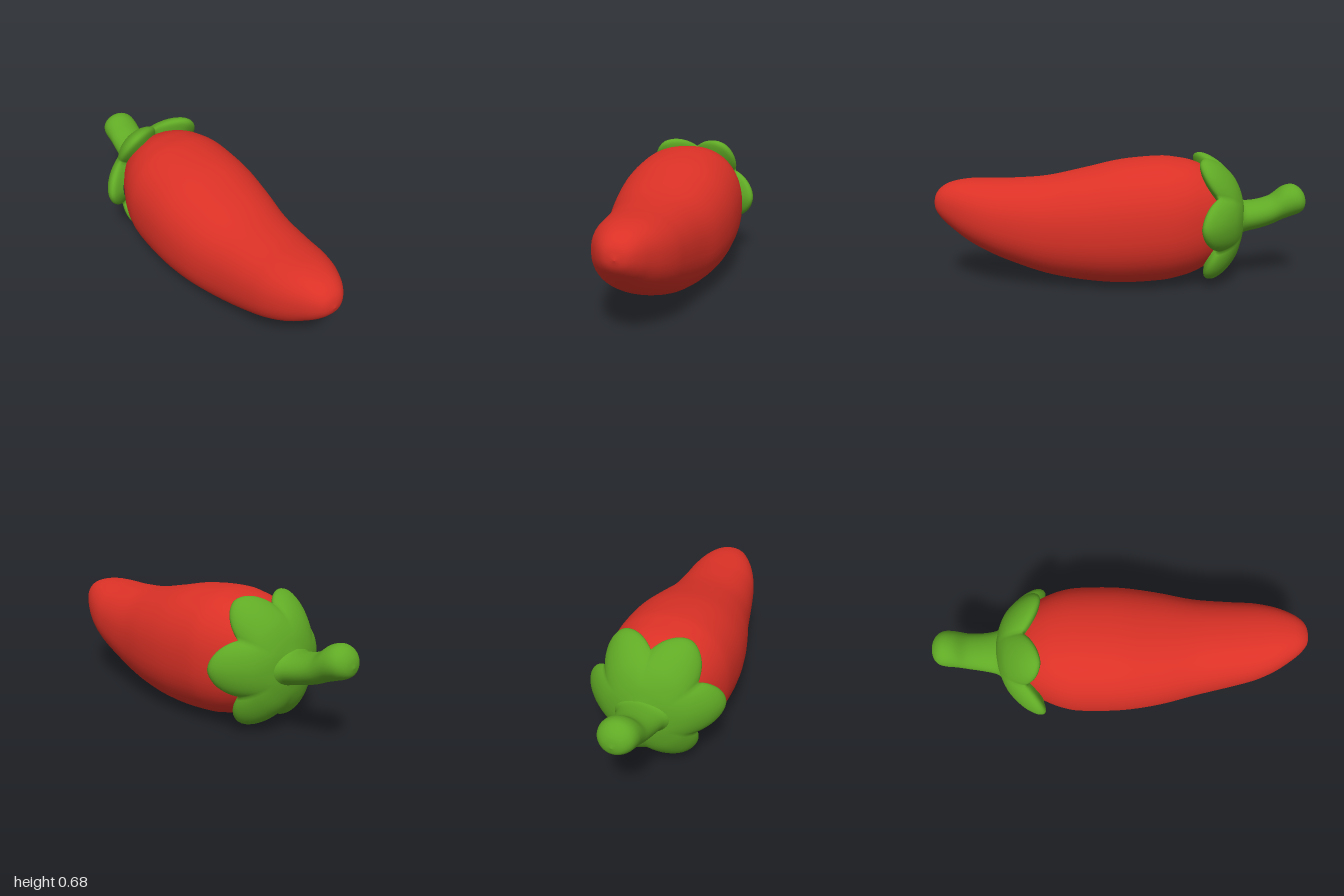
import * as THREE from 'three';

// Closed surface from a point(i, j) rule: i runs along +x, j runs around from the top towards +z
function skin(rows, cols, point) {
  const pos = [], idx = [];
  for (let i = 0; i <= rows; i++) {
    for (let j = 0; j < cols; j++) {
      pos.push(...point(i / rows, j / cols));
      if (i === rows) continue;
      const a = i * cols + j, b = i * cols + (j + 1) % cols;
      idx.push(a, b, a + cols, b, b + cols, a + cols);
    }
  }
  const g = new THREE.BufferGeometry();
  g.setAttribute('position', new THREE.Float32BufferAttribute(pos, 3));
  g.setIndex(idx);
  g.computeVertexNormals();
  return g;
}

const spline = (pts) => new THREE.CatmullRomCurve3(pts, false, 'catmullrom', 0.5);

// Loft along x through sections [x, top, bottom, half width]; power > 2 squares the section
function loft(sections, rows, cols, power) {
  const heights = spline(sections.map(([x, t, b]) => new THREE.Vector3(x, t, b)));
  const widths = spline(sections.map(([x, , , w]) => new THREE.Vector3(x, w, 0)));
  const round = (v) => Math.sign(v) * Math.abs(v) ** (2 / power);
  return skin(rows, cols, (u, v) => {
    const h = heights.getPoint(u), w = Math.max(0, widths.getPoint(u).y), a = v * Math.PI * 2;
    return [h.x, (h.y + h.z) / 2 + (h.y - h.z) / 2 * round(Math.cos(a)), w * round(Math.sin(a))];
  });
}

// Six-lobed cap: each lobe spans two notch angles (degrees from the top)
function calyxGeometry() {
  const notches = [0, 60, 122, 180, 238, 300, 360];
  const centreY = 0.362;
  // [x, radius] of the profile at a notch and at a lobe tip
  const atNotch = [[-0.66, 0.08], [-0.637, 0.155], [-0.595, 0.22], [-0.55, 0.255], [-0.51, 0.272], [-0.495, 0.262], [-0.495, 0.22]];
  const atTip = [[-0.66, 0.08], [-0.637, 0.155], [-0.595, 0.235], [-0.52, 0.312], [-0.445, 0.353], [-0.405, 0.34], [-0.42, 0.27]];
  return skin(24, 120, (u, v) => {
    const lobe = Math.min(5, Math.floor(v * 6 + 1e-9));
    const across = v * 6 - lobe;
    const a = THREE.MathUtils.degToRad(THREE.MathUtils.lerp(notches[lobe], notches[lobe + 1], across));
    const s = 1 - Math.abs(across * 2 - 1) ** 1.7;
    const p = spline(atNotch.map(([x, r], k) => new THREE.Vector3(
      THREE.MathUtils.lerp(x, atTip[k][0], s), THREE.MathUtils.lerp(r, atTip[k][1], s), 0))).getPoint(u);
    const dy = p.y * Math.cos(a);
    const setBack = 0.4 * Math.min(0, dy) ** 2; // lower lobes sit further back
    return [p.x - setBack, centreY + dy, p.y * Math.sin(a)];
  });
}

export function createModel() {
  const red = new THREE.MeshStandardMaterial({ color: 0xdb3126 });
  red.name = 'pepper red';
  const green = new THREE.MeshStandardMaterial({ color: 0x60aa25 });
  green.name = 'stem green';

  const group = new THREE.Group();
  group.name = 'chilliPepper';
  const add = (name, geometry, material) => {
    const mesh = new THREE.Mesh(geometry, material);
    mesh.name = name;
    group.add(mesh);
  };

  // Fruit, fat near the stem and lifting to a blunt tip
  add('fruit', loft([
    [-0.58, 0.36, 0.36, 0], [-0.56, 0.47, 0.24, 0.12], [-0.5, 0.59, 0.125, 0.215],
    [-0.4, 0.65, 0.06, 0.275], [-0.3, 0.672, 0.028, 0.312], [-0.2, 0.679, 0.01, 0.325],
    [0, 0.66, 0, 0.325], [0.2, 0.615, 0.015, 0.3], [0.4, 0.574, 0.05, 0.256],
    [0.6, 0.561, 0.12, 0.225], [0.72, 0.562, 0.175, 0.205], [0.82, 0.56, 0.233, 0.172],
    [0.9, 0.546, 0.295, 0.13], [0.95, 0.523, 0.34, 0.095], [0.985, 0.485, 0.385, 0.055],
    [1, 0.43, 0.43, 0],
  ], 75, 48, 2.25), red);

  // Leafy cap over the shoulder
  add('calyx', calyxGeometry(), green);

  // Stem, bending up to a rounded end
  add('stem', loft([
    [-1, 0.43, 0.43, 0], [-0.988, 0.477, 0.39, 0.05], [-0.96, 0.512, 0.369, 0.083],
    [-0.92, 0.528, 0.354, 0.096], [-0.87, 0.514, 0.335, 0.097], [-0.81, 0.468, 0.308, 0.098],
    [-0.74, 0.445, 0.286, 0.105], [-0.67, 0.438, 0.27, 0.12], [-0.63, 0.455, 0.25, 0.145],
    [-0.59, 0.46, 0.25, 0.14],
  ], 45, 32, 2), green);

  return group;
}
